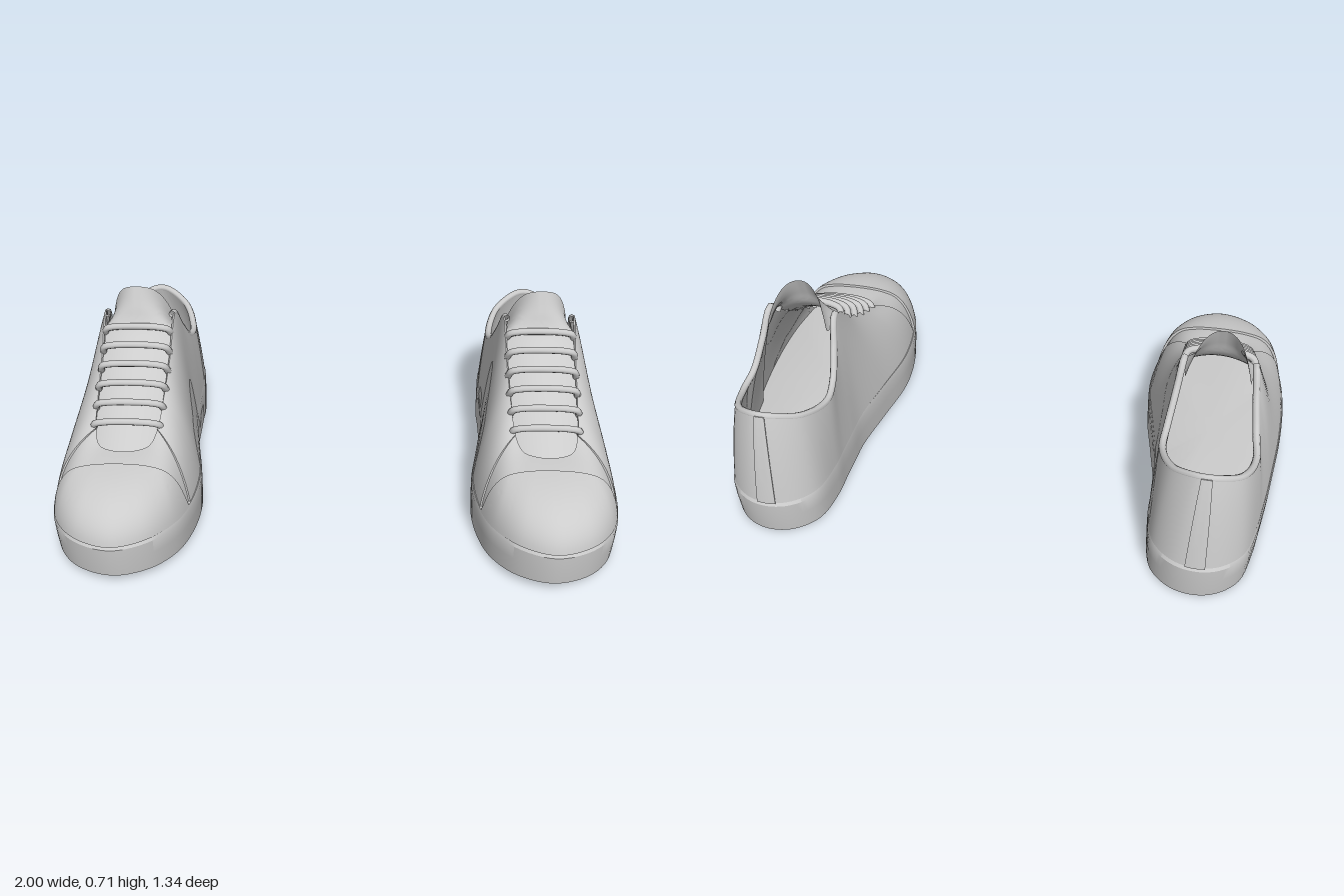
import * as THREE from 'three';
import { toCreasedNormals } from 'three/addons/utils/BufferGeometryUtils.js';

const V = (x, y, z) => new THREE.Vector3(x, y, z);
const { lerp, smoothstep } = THREE.MathUtils;

// Stations from toe to heel: sole outer x, inner x, z | upper edge x, y, z | fullness (small = rounder)
const STATIONS = [
  [0, 0, 0.665, 0, 0.322, 0.335, 0.08],
  [0.125, 0.115, 0.62, 0.04, 0.322, 0.33, 0.08],
  [0.21, 0.195, 0.52, 0.085, 0.325, 0.305, 0.1],
  [0.25, 0.235, 0.39, 0.108, 0.35, 0.24, 0.2],
  [0.264, 0.247, 0.22, 0.115, 0.405, 0.13, 0.28],
  [0.257, 0.215, 0.02, 0.12, 0.492, -0.02, 0.32],
  [0.236, 0.183, -0.17, 0.125, 0.6, -0.165, 0.38],
  [0.224, 0.18, -0.27, 0.138, 0.51, -0.235, 0.4],
  [0.21, 0.178, -0.36, 0.152, 0.425, -0.31, 0.4],
  [0.195, 0.177, -0.45, 0.158, 0.403, -0.4, 0.4],
  [0.155, 0.15, -0.585, 0.115, 0.44, -0.535, 0.4],
  [0.08, 0.08, -0.655, 0.04, 0.474, -0.597, 0.4],
  [0, 0, -0.675, 0, 0.48, -0.607, 0.4],
];
const HEEL = STATIONS.length - 1;
const N = HEEL * 2;

// Full loops: down the outer side to the heel, back up the inner side
const loop = Array.from({ length: N }, (_, i) => {
  const outer = i <= HEEL;
  const [xo, xi, z, tx, ty, tz, k] = STATIONS[outer ? i : N - i];
  return { sole: V(outer ? xo : -xi, 0, z), top: V(outer ? tx : -tx, ty, tz), k };
});
const soleCurve = new THREE.CatmullRomCurve3(loop.map(p => p.sole), true);
const topCurve = new THREE.CatmullRomCurve3(loop.map(p => p.top), true);
const wrap = u => ((u % N) + N) % N;
const soleTopY = z => 0.145 + 0.025 * smoothstep(z, 0.35, 0.66);
const soleBottomY = z => 0.038 * Math.max(0, (z - 0.1) / 0.565) ** 2;

// Skin of the upper: u = station around the shoe, v = 0 at the sole, 1 at the edge
function skin(u, v) {
  u = wrap(u);
  const i = Math.floor(u);
  const k = lerp(loop[i].k, loop[(i + 1) % N].k, u - i);
  const b = soleCurve.getPoint(u / N);
  const t = topCurve.getPoint(u / N);
  b.set(b.x * 0.955, soleTopY(b.z) - 0.005, b.z * 0.985);
  const c = V(lerp(b.x, t.x, k), lerp(b.y, t.y, 1 - k), lerp(b.z, t.z, k));
  return b.multiplyScalar((1 - v) ** 2).addScaledVector(c, 2 * v * (1 - v)).addScaledVector(t, v * v);
}
function raised(u, v, offset) {
  const p = skin(u, v);
  if (!offset) return p;
  const e = 0.03;
  const du = skin(u + e, v).sub(skin(u - e, v));
  const dv = skin(u, Math.min(1, v + e)).sub(skin(u, Math.max(0, v - e)));
  return p.addScaledVector(du.cross(dv).normalize(), offset);
}

// Grid surface from a point rule f(a, b), with a and b in 0..1
function surface(nu, nv, f, crease = 0.7) {
  const pos = [], index = [], w = nu + 1;
  for (let j = 0; j <= nv; j++)
    for (let i = 0; i <= nu; i++) pos.push(...f(i / nu, j / nv).toArray());
  for (let j = 0; j < nv; j++)
    for (let i = 0; i < nu; i++) {
      const a = j * w + i;
      index.push(a, a + 1, a + w, a + 1, a + w + 1, a + w);
    }
  const g = new THREE.BufferGeometry();
  g.setAttribute('position', new THREE.Float32BufferAttribute(pos, 3));
  g.setIndex(index);
  return toCreasedNormals(g, crease);
}

// Panel lying on the skin, its borders folded down to it; vEnd(u) gives its upper limit
function panel(u0, u1, offset, nu, nv, vEnd = () => 1) {
  return surface(nu, nv, (a, b) => {
    const edge = a === 0 || a === 1 || b === 1;
    const inner = THREE.MathUtils.clamp(a, 1 / nu, 1 - 1 / nu);
    const u = lerp(u0, u1, (inner - 1 / nu) / (1 - 2 / nu));
    const v = Math.min(1, b * nv / (nv - 1)) * vEnd(u);
    return raised(u, v, edge ? 0 : offset);
  });
}

// Height on the skin where the toe cap ends
function capLimit(u) {
  const cut = 0.41;
  if (skin(u, 0).z < cut) return 0;
  let lo = 0, hi = 1;
  for (let i = 0; i < 20; i++) {
    const m = (lo + hi) / 2;
    if (skin(u, m).z > cut) lo = m; else hi = m;
  }
  return lo;
}

// Sole rings from bottom centre, round the side wall, to the top centre
function soleGeometry() {
  const rings = [[0, 0], [0.98, 0], [0.995, 0.5], [1, 0.88], [0.985, 1], [0.94, 1.03], [0, 1.1]];
  return surface(120, rings.length - 1, (a, b) => {
    const [s, h] = rings[Math.round(b * (rings.length - 1))];
    const p = soleCurve.getPoint(a % 1).multiplyScalar(s);
    p.y = lerp(soleBottomY(p.z), soleTopY(p.z), h);
    return p;
  }, 0.5);
}

// Tongue: arched sheet following the throat, its sides swept back at the top
function tongueGeometry() {
  const path = new THREE.CatmullRomCurve3([
    V(0, 0.305, 0.34), V(0, 0.385, 0.2), V(0, 0.505, 0), V(0, 0.58, -0.09), V(0, 0.645, -0.118), V(0, 0.715, -0.145),
  ]);
  return surface(24, 36, (a, b) => {
    const w = 1 - 2 * a, flare = smoothstep(b, 0.6, 1);
    const p = path.getPoint(b);
    p.x = -w * lerp(0.122, 0.108, flare);
    p.y -= w * w * lerp(0.03, 0.06, flare) + w ** 4 * 0.08 * flare;
    p.z -= w * w * lerp(0.01, 0.08, flare);
    return p;
  });
}

// Lace: bar arched over the tongue, its ends bent down into the upper
function laceGeometry() {
  const pts = [[-0.122, -0.055], [-0.112, -0.02], [-0.08, -0.006], [0, 0], [0.08, -0.006], [0.112, -0.02], [0.122, -0.055]];
  return new THREE.TubeGeometry(new THREE.CatmullRomCurve3(pts.map(([x, y]) => V(x, y, 0))), 32, 0.0125, 8);
}

function createShoe() {
  const shoe = new THREE.Group();
  const material = new THREE.MeshStandardMaterial({ color: 0xcccccc, side: THREE.DoubleSide });
  const add = (name, geometry) => {
    const mesh = new THREE.Mesh(geometry, material);
    mesh.name = name;
    shoe.add(mesh);
    return mesh;
  };

  add('sole', soleGeometry());
  add('upper', surface(144, 20, (a, b) => skin(a * N, b)));
  add('quarterPanel', panel(3, N - 3, 0.006, 120, 20));
  add('toeCap', panel(-2.85, 2.85, 0.009, 60, 16, capLimit));
  add('heelStrip', panel(HEEL - 0.4, HEEL + 0.4, 0.011, 8, 16));
  add('lining', surface(72, 14, (a, b) => raised(lerp(6, N - 6, a), b, -0.016)));
  add('tongue', tongueGeometry());

  // Padded collar along the ankle opening
  const rim = Array.from({ length: 49 }, (_, i) => raised(lerp(5.9, N - 5.9, i / 48), 1, -0.005));
  add('collar', new THREE.TubeGeometry(new THREE.CatmullRomCurve3(rim), 96, 0.0125, 8));

  // Six laces climbing the throat
  const laceShape = laceGeometry();
  for (let i = 0; i < 6; i++) {
    const lace = add('lace', laceShape);
    lace.position.set(0, lerp(0.384, 0.588, i / 5), lerp(0.243, -0.078, i / 5));
    lace.rotation.x = 0.54;
  }
  return shoe;
}

export function createModel() {
  const model = new THREE.Group();
  model.name = 'pairOfSneakers';
  for (const side of [1, -1]) {
    const shoe = createShoe();
    shoe.name = side > 0 ? 'leftShoe' : 'rightShoe';
    shoe.position.x = side * 0.735;
    shoe.scale.x = side;
    model.add(shoe);
  }
  return model;
}
